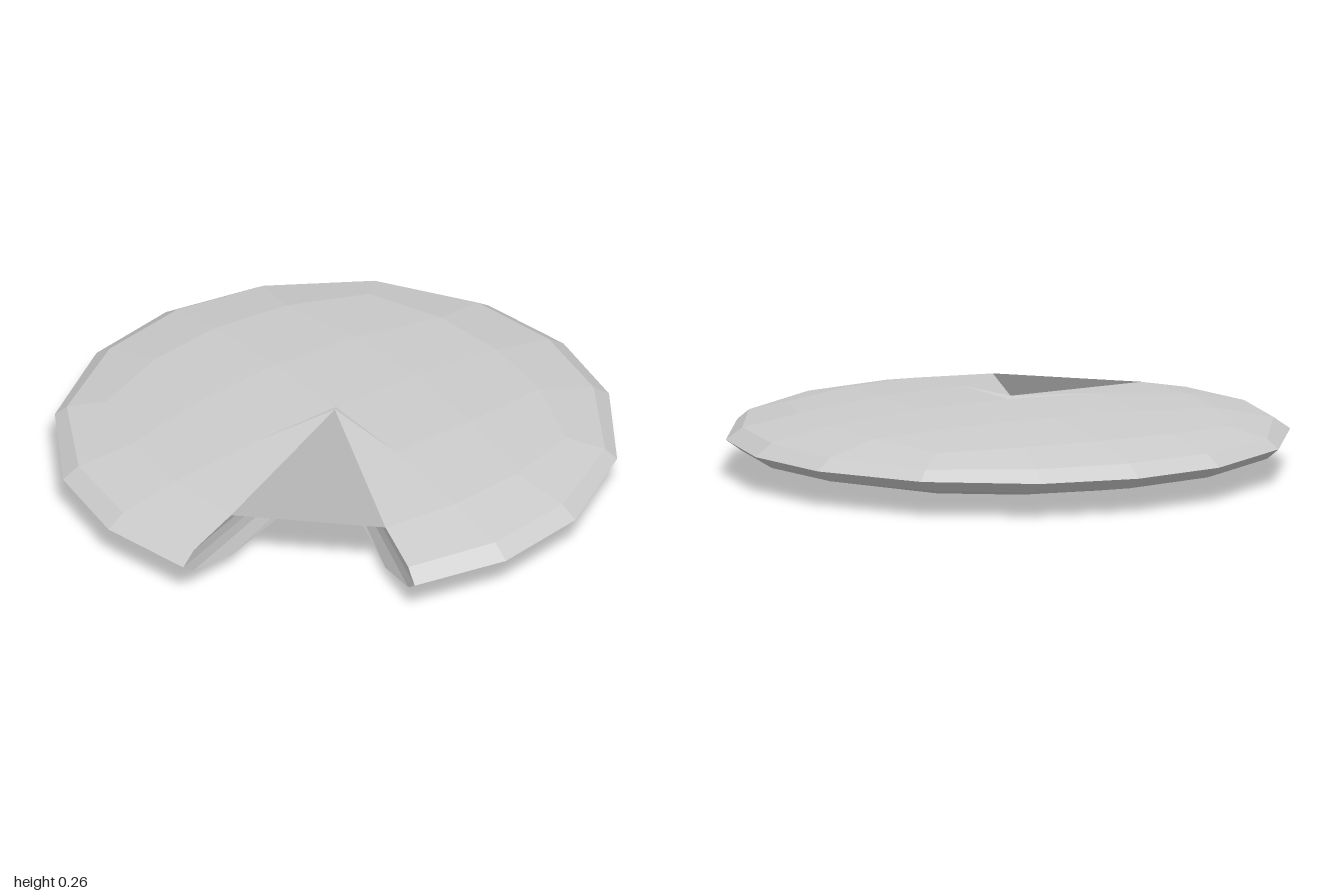
import * as THREE from 'three';

const MID = 0.132, HALF = 0.125, SEG = 4;

// Cube point -> flattened sphere; points at the notch corner are pulled to the middle
function place(p) {
  const { x, y, z } = p;
  const a = x * x, b = y * y, c = z * z;
  const out = new THREE.Vector3(
    x * Math.sqrt(1 - b / 2 - c / 2 + b * c / 3),
    MID + HALF * y * Math.sqrt(1 - a / 2 - c / 2 + a * c / 3),
    z * Math.sqrt(1 - a / 2 - b / 2 + a * b / 3)
  );
  const column = x === 1 && z === 1;
  const apex = x === 0.5 && z === 0.5 && b === 1;
  if (column || apex) out.x = out.z = 0.02;
  if (apex) out.y = MID + y * 0.132;
  return out;
}

export function createModel() {
  const X = new THREE.Vector3(1, 0, 0), Y = new THREE.Vector3(0, 1, 0), Z = new THREE.Vector3(0, 0, 1);
  const positions = [], normals = [];

  // Six cube sides, each a grid of flat-shaded quads
  for (const [n, u, v] of [[X, Y, Z], [Y, Z, X], [Z, X, Y]]) {
    for (const side of [1, -1]) {
      const [e, f] = side > 0 ? [u, v] : [v, u];
      const point = (i, j) => place(n.clone().multiplyScalar(side)
        .addScaledVector(e, i * 2 / SEG - 1).addScaledVector(f, j * 2 / SEG - 1));
      for (let i = 0; i < SEG; i++) for (let j = 0; j < SEG; j++) {
        const q = [point(i, j), point(i + 1, j), point(i + 1, j + 1), point(i, j + 1)];
        const normal = q[2].clone().sub(q[0]).cross(q[3].clone().sub(q[1])).normalize();
        // The roof over the notch is split across its mouth
        const roof = n === Y && side > 0 && i === SEG - 1 && j === SEG - 1;
        for (const k of roof ? [0, 1, 3, 1, 2, 3] : [0, 1, 2, 0, 2, 3]) {
          positions.push(...q[k].toArray());
          normals.push(...normal.toArray());
        }
      }
    }
  }

  const geometry = new THREE.BufferGeometry();
  geometry.setAttribute('position', new THREE.Float32BufferAttribute(positions, 3));
  geometry.setAttribute('normal', new THREE.Float32BufferAttribute(normals, 3));
  const disc = new THREE.Mesh(geometry,
    new THREE.MeshStandardMaterial({ color: 0xcccccc, side: THREE.DoubleSide }));
  disc.name = 'notchedDisc';

  const group = new THREE.Group();
  group.name = 'lensWithNotch';
  group.add(disc);
  return group;
}
